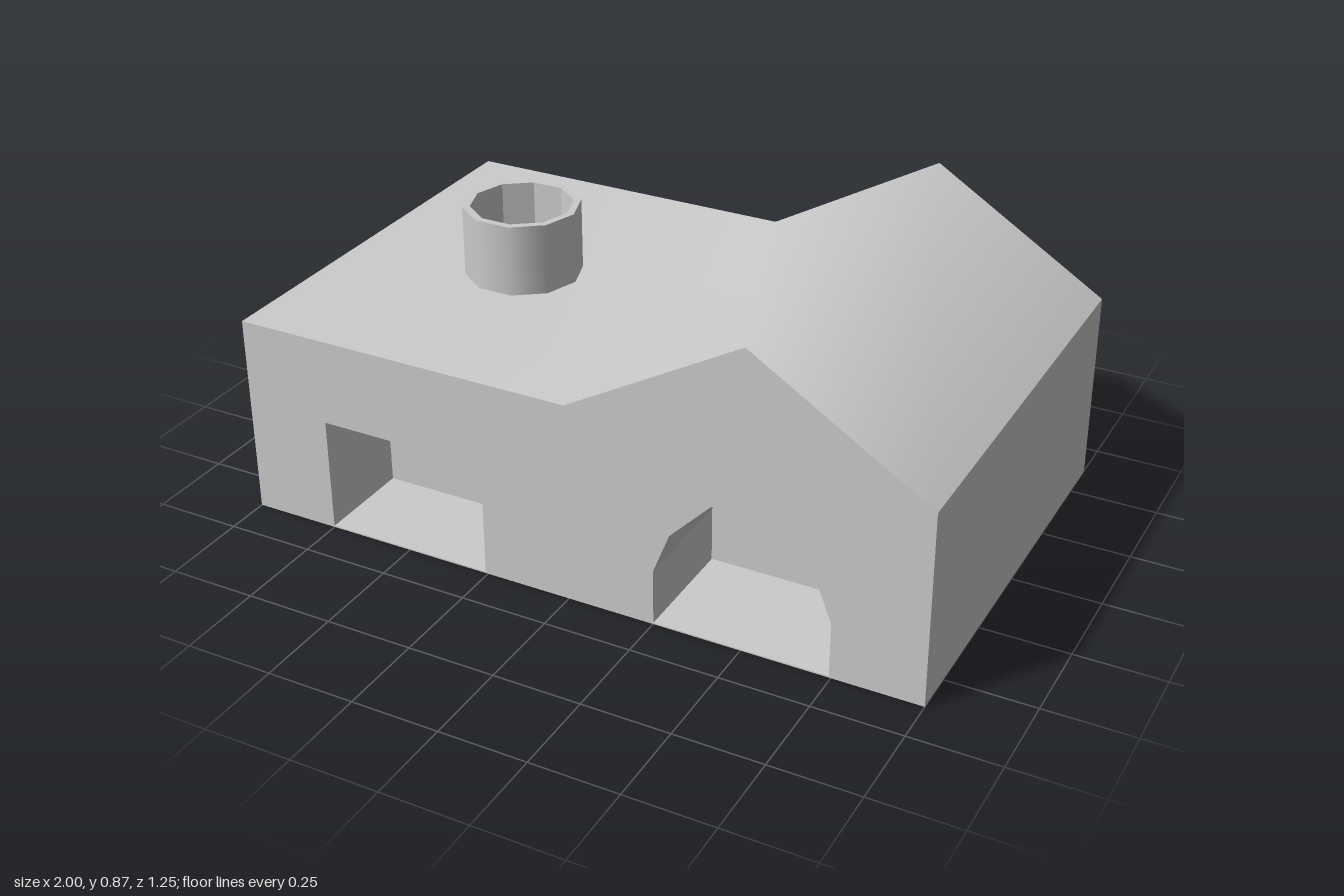
import * as THREE from 'three';

const HALF_DEPTH = 0.623;
const FLOOR = 0.004;
const material = new THREE.MeshStandardMaterial({ color: 0xcccccc });

function addMesh(parent, name, geometry) {
  const mesh = new THREE.Mesh(geometry, material);
  mesh.name = name;
  parent.add(mesh);
  return mesh;
}

const toVectors = (points) => points.map(([x, y]) => new THREE.Vector2(x, y));

// Sweeps a line of [x, y] points along z; counterclockwise lines face outward.
function ribbon(points, back, front, smooth = false) {
  const positions = [];
  const index = [];
  points.forEach(([x, y], i) => {
    positions.push(x, y, front, x, y, back);
    if (i < points.length - 1) {
      const a = 2 * i;
      index.push(a, a + 1, a + 3, a, a + 3, a + 2);
    }
  });
  let geometry = new THREE.BufferGeometry();
  geometry.setAttribute('position', new THREE.Float32BufferAttribute(positions, 3));
  geometry.setIndex(index);
  if (!smooth) geometry = geometry.toNonIndexed();
  geometry.computeVertexNormals();
  return geometry;
}

// Flat panel facing +z, with optional openings.
function panel(points, z, holes = []) {
  const shape = new THREE.Shape(toVectors(points));
  holes.forEach((hole) => shape.holes.push(new THREE.Path(toVectors(hole))));
  return new THREE.ShapeGeometry(shape).translate(0, 0, z);
}

// Recess behind an opening: inward-facing lining and a back wall.
function addRecess(parent, name, outline, depth) {
  const recess = new THREE.Group();
  recess.name = name;
  const back = HALF_DEPTH - depth;
  const loop = [...outline, outline[0]].reverse();
  addMesh(recess, 'recessLining', ribbon(loop, back, HALF_DEPTH));
  addMesh(recess, 'recessBack', panel(outline, back));
  parent.add(recess);
}

// Short ten-sided open pipe standing on the flat roof.
function createChimney() {
  const chimney = new THREE.Group();
  chimney.name = 'chimney';
  const outer = 0.166, inner = 0.145, height = 0.206, sides = 10;
  const tube = (r) => new THREE.CylinderGeometry(r, r, height, sides, 1, true, Math.PI / 2);

  addMesh(chimney, 'chimneyOuter', tube(outer)).position.y = height / 2;

  // Turn the inner tube inside out and keep its facets flat
  const bore = tube(inner);
  bore.setIndex(Array.from(bore.index.array).reverse());
  const flatBore = bore.toNonIndexed();
  flatBore.computeVertexNormals();
  addMesh(chimney, 'chimneyBore', flatBore).position.y = height / 2;

  const rim = new THREE.RingGeometry(inner, outer, sides).rotateX(-Math.PI / 2);
  addMesh(chimney, 'chimneyRim', rim).position.y = height;

  chimney.position.set(-0.49, 0.582, 0);
  return chimney;
}

export function createModel() {
  const model = new THREE.Group();
  model.name = 'house';

  const outline = [[-1, 0], [1, 0], [1, 0.557], [0.5, 0.868], [0, 0.582], [-1, 0.582]];
  const garage = [[-0.75, FLOOR], [-0.257, FLOOR], [-0.257, 0.333], [-0.75, 0.333]];

  // Arched doorway, mirrored about its centre line
  const archX = 0.498;
  const half = [[0.247, FLOOR], [0.247, 0.163], [0.2, 0.284], [0.085, 0.402]];
  const arch = [
    ...half.map(([x, y]) => [archX + x, y]),
    [archX, 0.438],
    ...half.map(([x, y]) => [archX - x, y]).reverse(),
  ];

  // Walls
  addMesh(model, 'frontWall', panel(outline, HALF_DEPTH, [garage, arch]));
  const backOutline = outline.map(([x, y]) => [-x, y]);
  addMesh(model, 'backWall', panel(backOutline, HALF_DEPTH).rotateY(Math.PI));
  const side = (a, b) => ribbon([outline[a], outline[b]], -HALF_DEPTH, HALF_DEPTH);
  addMesh(model, 'base', side(0, 1));
  addMesh(model, 'leftWall', side(1, 2));
  addMesh(model, 'rightWall', side(5, 0));

  // Gable and flat roof in one softly shaded sheet
  addMesh(model, 'roof', ribbon(outline.slice(2), -HALF_DEPTH, HALF_DEPTH, true));

  addRecess(model, 'garageRecess', garage, 0.285);
  addRecess(model, 'archedDoorRecess', arch, 0.335);
  model.add(createChimney());
  return model;
}
